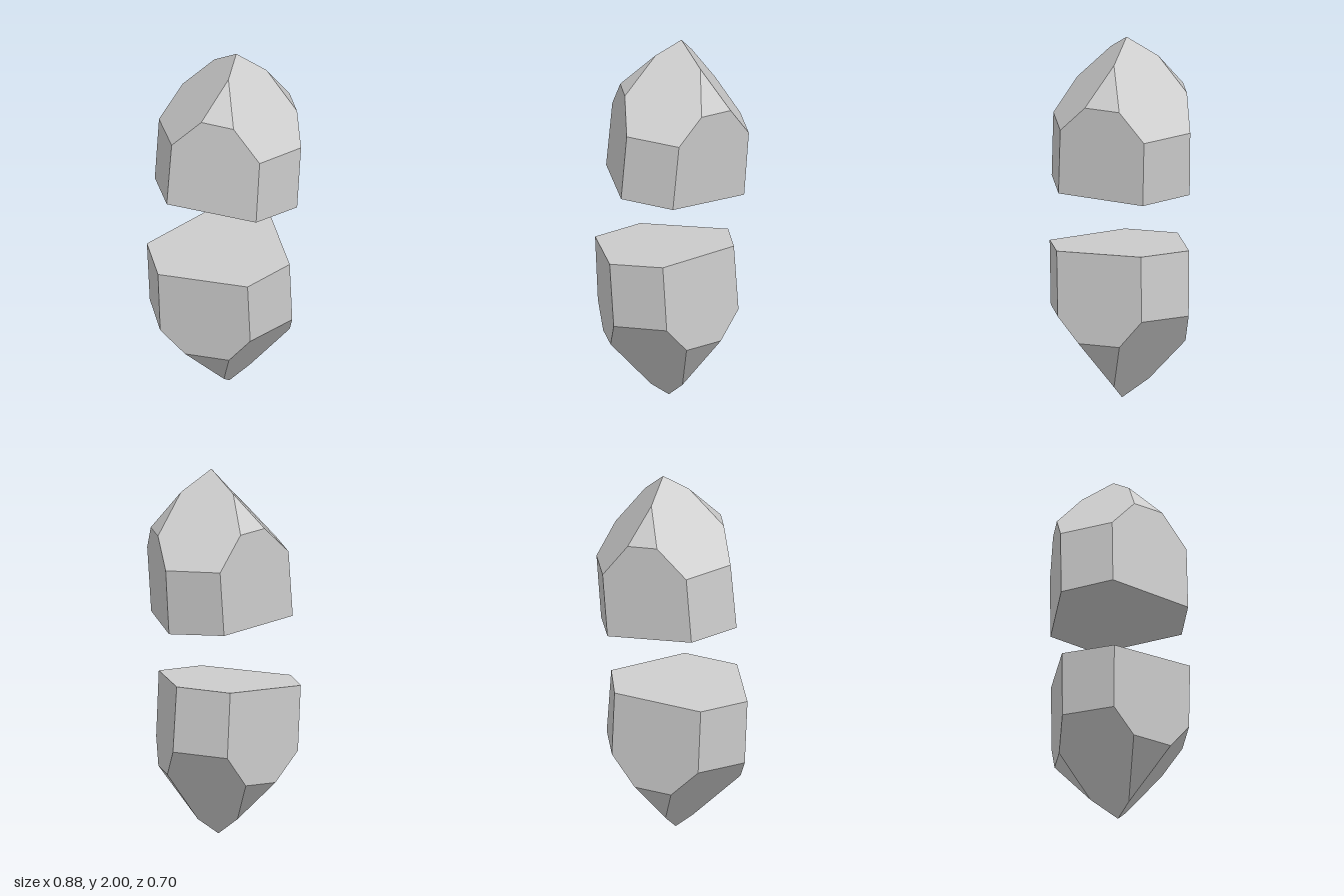
import * as THREE from 'three';

// Builds a flat-faced solid; each loop of corners gets one shared normal.
function facetedGeometry(points, faces, flip) {
  const positions = [], normals = [];
  for (const face of faces) {
    const loop = (flip ? [...face].reverse() : face).map(i => new THREE.Vector3(...points[i]));
    const normal = new THREE.Vector3();
    loop.forEach((p, i) => normal.add(p.clone().cross(loop[(i + 1) % loop.length])));
    normal.normalize();
    for (let i = 1; i < loop.length - 1; i++) {
      for (const p of [loop[0], loop[i], loop[i + 1]]) {
        positions.push(p.x, p.y, p.z);
        normals.push(normal.x, normal.y, normal.z);
      }
    }
  }
  const geometry = new THREE.BufferGeometry();
  geometry.setAttribute('position', new THREE.Float32BufferAttribute(positions, 3));
  geometry.setAttribute('normal', new THREE.Float32BufferAttribute(normals, 3));
  return geometry;
}

// Faces of a six-sided crystal with a point of three large and three small facets.
// Corners: 0-5 base ring, 6-11 shoulder ring, 12-20 small triangles, 21 tip.
function crystalFaces() {
  const faces = [[5, 4, 3, 2, 1, 0]];
  for (let k = 0; k < 3; k++) {
    const a = 2 * k, b = a + 1, c = (a + 2) % 6;
    const t = 12 + 3 * k, p = 12 + 3 * ((k + 2) % 3);
    faces.push([a, b, b + 6, a + 6]);                       // narrow side
    faces.push([b, c, c + 6, t + 2, t + 1, b + 6]);         // wide side
    faces.push([t + 1, t + 2, t]);                          // small triangle
    faces.push([a + 6, b + 6, t + 1, t, 21, p, p + 2]);     // large facet
  }
  return faces;
}

const upperPoints = [
  // cut base
  [-0.13, 1.2, 0.347], [0.165, 1.175, 0.347], [0.41, 1.155, -0.075],
  [0.257, 1.168, -0.345], [-0.23, 1.207, -0.345], [-0.38, 1.222, -0.085],
  // shoulders
  [-0.1, 1.553, 0.342], [0.198, 1.53, 0.342], [0.436, 1.505, -0.078],
  [0.285, 1.515, -0.345], [-0.2, 1.562, -0.345], [-0.345, 1.575, -0.085],
  // small triangles: right, back, left
  [0.21, 1.88, 0.055], [0.28, 1.67, 0.22], [0.38, 1.665, 0.048],
  [0.065, 1.89, -0.2], [0.14, 1.7, -0.345], [-0.03, 1.712, -0.345],
  [-0.05, 1.92, 0.04], [-0.25, 1.737, 0.045], [-0.163, 1.73, 0.205],
  // tip
  [0.07, 2, -0.03],
];

const lowerPoints = [
  // cut base
  [-0.194, 0.826, 0.35], [0.109, 0.843, 0.35], [0.353, 0.859, -0.072],
  [0.215, 0.85, -0.347], [-0.285, 0.82, -0.347], [-0.443, 0.81, -0.085],
  // shoulders
  [-0.172, 0.477, 0.347], [0.13, 0.489, 0.347], [0.379, 0.507, -0.072],
  [0.232, 0.495, -0.343], [-0.268, 0.466, -0.343], [-0.427, 0.456, -0.085],
  // small triangles: right, back, left
  [0.103, 0.083, 0.042], [0.204, 0.355, 0.245], [0.321, 0.357, 0.04],
  [0, 0.1, -0.16], [0.1, 0.327, -0.342], [-0.11, 0.315, -0.342],
  [-0.078, 0.064, 0.035], [-0.353, 0.33, 0.03], [-0.23, 0.335, 0.242],
  // tip
  [0.005, 0, -0.013],
];

export function createModel() {
  const model = new THREE.Group();
  model.name = 'splitCrystal';
  const material = new THREE.MeshStandardMaterial({ color: 0xcccccc });
  material.name = 'pale grey';
  const faces = crystalFaces();

  const upper = new THREE.Mesh(facetedGeometry(upperPoints, faces, false), material);
  upper.name = 'upperCrystal';
  // The lower half points down, so its corner order is reversed
  const lower = new THREE.Mesh(facetedGeometry(lowerPoints, faces, true), material);
  lower.name = 'lowerCrystal';
  model.add(upper, lower);
  return model;
}
